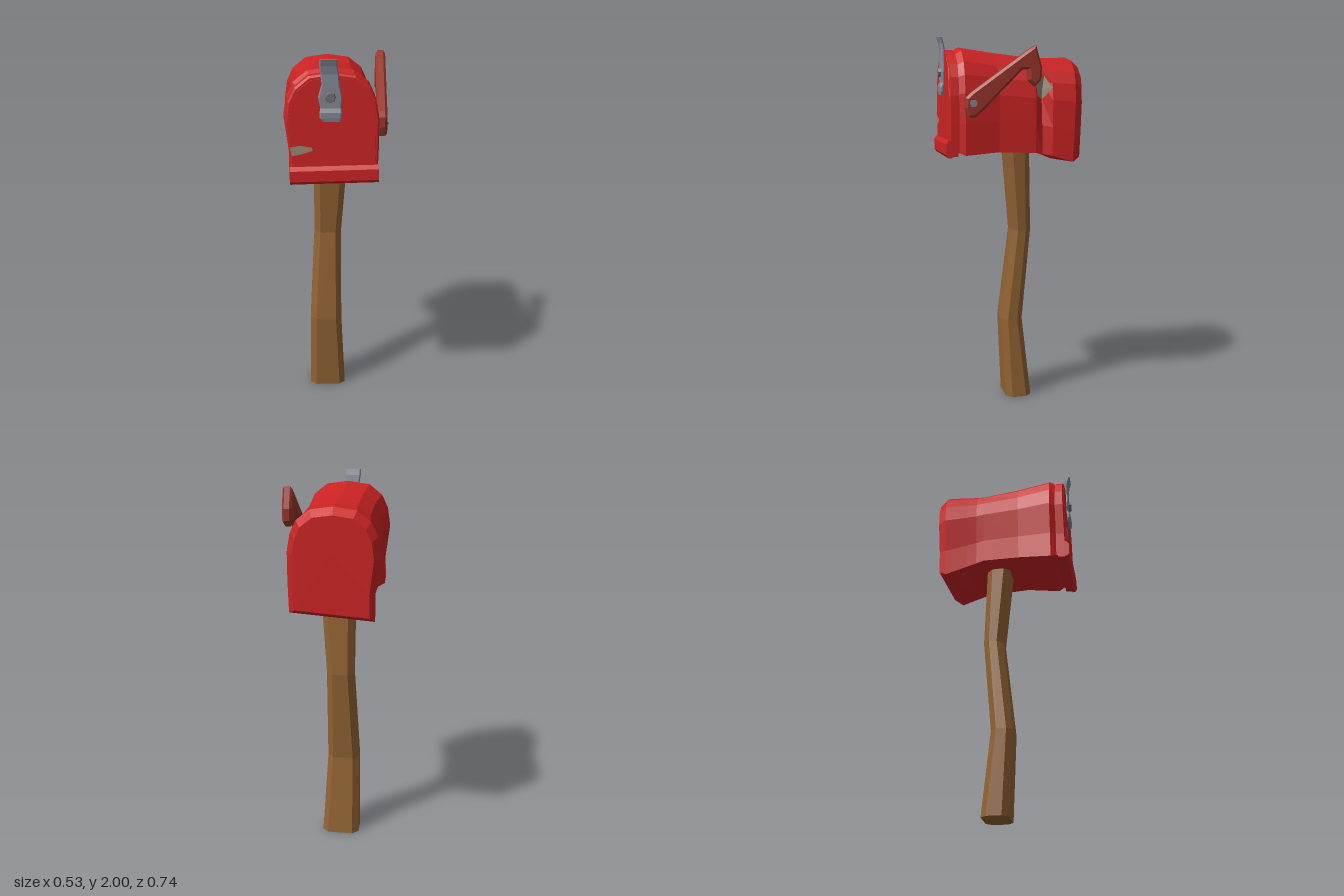
import * as THREE from 'three';

const mat = (name, color, extra = {}) => {
  const m = new THREE.MeshStandardMaterial({ color, flatShading: true, ...extra });
  m.name = name;
  return m;
};

// Skin rings of [x, y, z] points (counter-clockwise about the direction of travel), with end caps.
function loft(rings) {
  const pos = [];
  const tri = (a, b, c) => pos.push(...a, ...b, ...c);
  const n = rings[0].length;
  const middle = (r) => [0, 1, 2].map((k) => r.reduce((s, p) => s + p[k], 0) / n);
  const first = rings[0], last = rings[rings.length - 1];
  for (let j = 0; j < n; j++) {
    const k = (j + 1) % n;
    for (let i = 0; i < rings.length - 1; i++) {
      const a = rings[i], b = rings[i + 1];
      tri(a[j], a[k], b[k]);
      tri(a[j], b[k], b[j]);
    }
    tri(middle(first), first[k], first[j]);
    tri(middle(last), last[j], last[k]);
  }
  return fromPositions(pos);
}

function fromPositions(pos) {
  const g = new THREE.BufferGeometry();
  g.setAttribute('position', new THREE.Float32BufferAttribute(pos, 3));
  g.computeVertexNormals();
  return g;
}

// Arched cross-section: u across (-1..1), v from floor to crown.
const ARCH = [
  [0.98, 0], [1, 0.3], [1, 0.58], [0.93, 0.75], [0.8, 0.87], [0.5, 0.97], [0, 1],
  [-0.5, 0.97], [-0.8, 0.87], [-0.94, 0.75], [-1, 0.58], [-0.9, 0.26], [-0.9, 0],
];
function archRing({ z, x, floor, top, lean = 0, dent = [] }) {
  const mid = (x[0] + x[1]) / 2, half = (x[1] - x[0]) / 2;
  return ARCH.map(([u, v], i) => {
    const base = floor[0] + (floor[1] - floor[0]) * (u + 1) / 2;
    return [mid + u * half - (dent[i] || 0), base + (top - base) * v, z + lean * (1 - v)];
  });
}

// Rectangle with chamfered corners lying level at height y.
function chamferRing(y, x0, x1, z0, z1, c) {
  return [
    [x0 + c, z1], [x1 - c, z1], [x1, z1 - c], [x1, z0 + c],
    [x1 - c, z0], [x0 + c, z0], [x0, z0 + c], [x0, z1 - c],
  ].map(([x, z]) => [x, y, z]);
}

export function createModel() {
  const red = mat('red paint', 0xcc2323);
  const flagRed = mat('dull red paint', 0x99352b);
  const wood = mat('brown wood', 0x926333);
  const steel = mat('grey steel', 0x858895);
  const darkSteel = mat('dark steel', 0x746c76);
  const bare = mat('bare worn metal', 0x9a8a76, { side: THREE.DoubleSide });

  const model = new THREE.Group();
  model.name = 'mailbox';
  const add = (name, geometry, material) => {
    const m = new THREE.Mesh(geometry, material);
    m.name = name;
    model.add(m);
    return m;
  };

  // Crooked wooden post
  add('post', loft([
    [0, -0.143, 0.06, -0.127, 0.016],
    [0.45, -0.138, 0.037, -0.08, 0.037],
    [0.96, -0.112, 0.036, -0.127, -0.02],
    [1.43, -0.112, 0.07, -0.11, 0.02],
  ].map(([y, ...r]) => chamferRing(y, ...r, 0.032))), wood);

  // Box body with pinched waist, bevelled ends and a dent in its left side
  add('body', loft([
    { z: -0.37, x: [-0.24, 0.167], floor: [1.345, 1.375], top: 1.858, lean: 0.015 },
    { z: -0.327, x: [-0.268, 0.2], floor: [1.318, 1.352], top: 1.894, lean: 0.015 },
    { z: -0.2, x: [-0.248, 0.193], floor: [1.365, 1.385], top: 1.892 },
    { z: -0.15, x: [-0.241, 0.19], floor: [1.385, 1.395], top: 1.892, dent: [0.01, 0.028, 0.045, 0.032] },
    { z: -0.11, x: [-0.24, 0.19], floor: [1.4, 1.402], top: 1.894 },
    { z: 0.085, x: [-0.238, 0.18], floor: [1.403, 1.41], top: 1.92 },
    { z: 0.265, x: [-0.262, 0.203], floor: [1.383, 1.398], top: 1.947 },
    { z: 0.295, x: [-0.242, 0.187], floor: [1.395, 1.41], top: 1.928 },
    { z: 0.31, x: [-0.242, 0.187], floor: [1.395, 1.41], top: 1.928 },
  ].map(archRing)), red);

  // Raised rim round the mouth
  add('rim', loft([
    { z: 0.297, x: [-0.254, 0.207], floor: [1.378, 1.395], top: 1.934, lean: 0.008 },
    { z: 0.336, x: [-0.254, 0.205], floor: [1.374, 1.392], top: 1.934, lean: 0.008 },
    { z: 0.342, x: [-0.243, 0.197], floor: [1.384, 1.4], top: 1.924, lean: 0.008 },
  ].map(archRing)), red);

  // Door and its folded lip
  add('door', loft([
    { z: 0.336, x: [-0.238, 0.192], floor: [1.385, 1.4], top: 1.918, lean: 0.008 },
    { z: 0.344, x: [-0.234, 0.188], floor: [1.387, 1.402], top: 1.914, lean: 0.01 },
  ].map(archRing)), red);
  const lipProfile = new THREE.Shape([
    [-0.34, 1.385], [-0.34, 1.475], [-0.353, 1.475], [-0.367, 1.455], [-0.367, 1.4], [-0.357, 1.385],
  ].map((p) => new THREE.Vector2(...p)));
  const lipGeo = new THREE.ExtrudeGeometry(lipProfile, { depth: 0.442, bevelEnabled: false });
  lipGeo.rotateY(Math.PI / 2).translate(0, -1.43, 0).rotateZ(0.02);
  add('doorLip', lipGeo, red).position.set(-0.235, 1.425, 0);

  // Worn patch in the side dent, a shallow fan following the dent
  const hub = [0.153, 1.735, -0.15];
  const edge = [
    [0.182, 1.767, -0.11], [0.155, 1.8, -0.16], [0.191, 1.74, -0.197],
    [0.153, 1.68, -0.15], [0.192, 1.7, -0.115],
  ];
  add('sidePatch', fromPositions(edge.flatMap((p, i) =>
    [...hub, ...edge[(i + 1) % edge.length], ...p])), bare);

  // Worn patch on the door
  const tear = new THREE.Shape([
    [-0.232, 1.572], [-0.18, 1.58], [-0.122, 1.57], [-0.122, 1.553], [-0.18, 1.535], [-0.222, 1.528],
  ].map((p) => new THREE.Vector2(...p)));
  add('doorPatch', new THREE.ShapeGeometry(tear), bare).position.z = 0.356;

  // Latch strap, bent outwards at both ends
  add('latch', loft([
    [1.7, -0.07, 0.015, 0.364],
    [1.72, -0.085, 0.022, 0.367],
    [1.745, -0.085, 0.022, 0.367],
    [1.765, -0.082, 0.02, 0.357],
    [1.82, -0.092, 0.024, 0.357],
    [1.88, -0.075, 0.012, 0.357],
    [1.93, -0.08, 0.008, 0.356],
    [1.97, -0.086, 0.0, 0.362],
    [2.0, -0.084, 0.0, 0.371],
  ].map(([y, x0, x1, z]) => chamferRing(y, x0, x1, z - 0.02, z, 0.006))), steel);
  const stud = add('latchBolt', new THREE.CylinderGeometry(0.022, 0.03, 0.022, 8), darkSteel);
  stud.rotation.x = Math.PI / 2;
  stud.position.set(-0.033, 1.82, 0.36);

  // Signal flag: bevelled arm with a hooked end, drifting outwards to the rear
  const b = 0.012;
  const flagShape = new THREE.Shape([
    [-0.274, 1.645], [-0.27, 1.695], [-0.243, 1.722], [0.04, 1.925], [0.09, 1.957], [0.122, 1.846],
    [0.117, 1.783], [0.085, 1.75], [0.053, 1.782], [0.05, 1.835], [0.02, 1.835], [-0.18, 1.634],
    [-0.222, 1.597], [-0.26, 1.597],
  ].map((p) => new THREE.Vector2(...p)));
  const flagGeo = new THREE.ExtrudeGeometry(flagShape, {
    depth: 0.028, bevelEnabled: true, bevelSize: b, bevelOffset: -b, bevelThickness: b, bevelSegments: 1,
  });
  flagGeo.rotateY(Math.PI / 2);
  const p = flagGeo.attributes.position;
  for (let i = 0; i < p.count; i++) p.setX(i, p.getX(i) + 0.212 - 0.035 * (p.getZ(i) - 0.27));
  flagGeo.computeVertexNormals();
  add('flag', flagGeo, flagRed);

  // Flag pivot bolt
  const pivot = add('flagBolt', new THREE.CylinderGeometry(0.02, 0.024, 0.09, 6), steel);
  pivot.rotation.z = -Math.PI / 2;
  pivot.position.set(0.214, 1.668, 0.233);

  return model;
}
